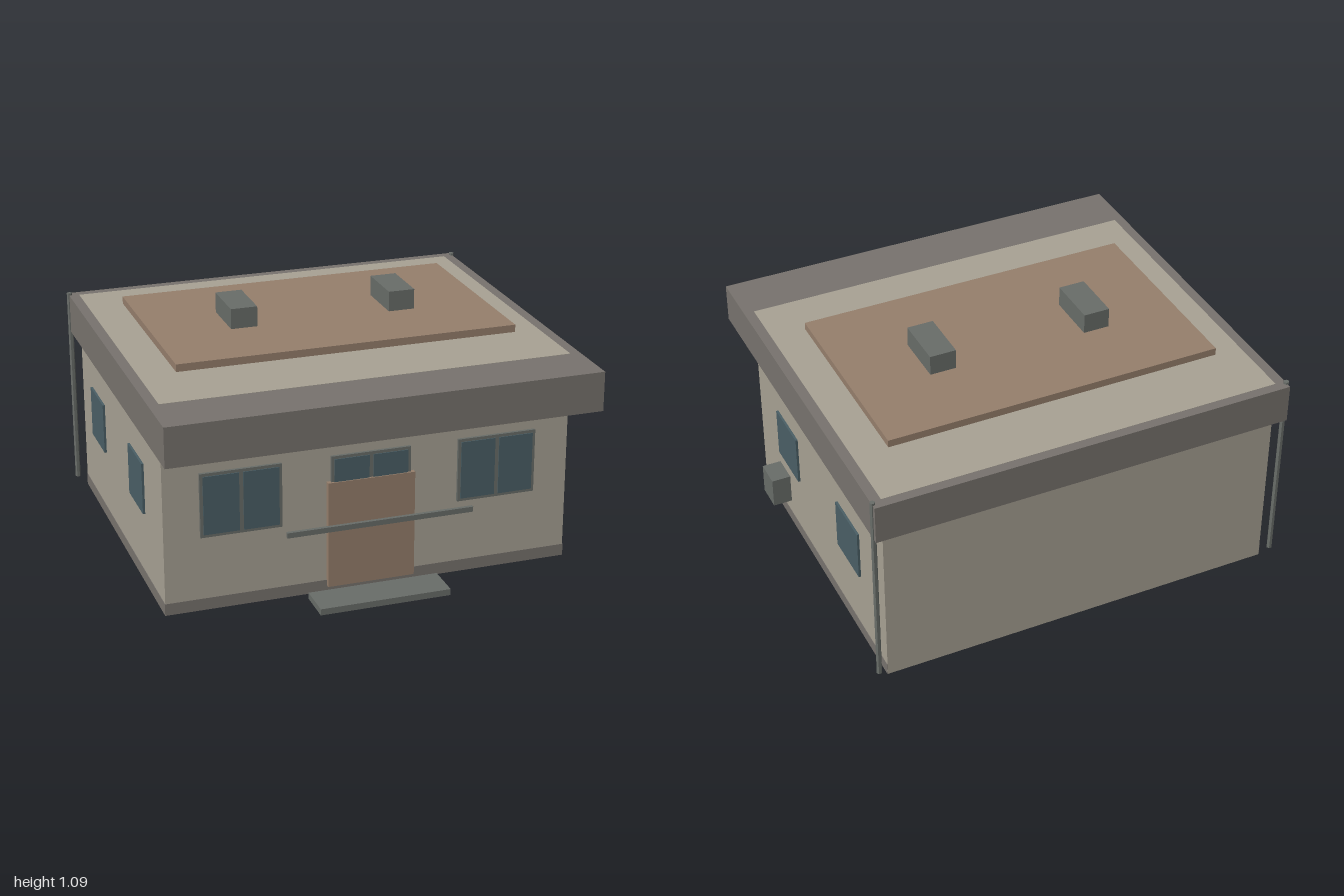
import * as THREE from 'three';

const material = (color, flat = false) => new THREE.MeshStandardMaterial({ color, flatShading: flat });

export function createModel() {
  const house = new THREE.Group();
  house.name = 'house';

  const wall = material(0xa8a294);
  const trim = material(0x78736e);
  const brown = material(0x967f6c);
  const glass = material(0x4a5f66);
  const metal = material(0x696d69, true);

  // Box given by its limits on each axis
  function box(name, mat, [x0, x1], [y0, y1], [z0, z1], parent = house) {
    const mesh = new THREE.Mesh(new THREE.BoxGeometry(x1 - x0, y1 - y0, z1 - z0), mat);
    mesh.position.set((x0 + x1) / 2, (y0 + y1) / 2, (z0 + z1) / 2);
    mesh.name = name;
    parent.add(mesh);
    return mesh;
  }

  const mid = -0.048; // centre line of the building
  const across = (half, offset = 0) => [mid + offset - half, mid + offset + half];

  // Body, plinth along front and sides, overhanging roof slab
  box('walls', wall, across(0.897), [0, 0.941], [-0.82, 0.62]);
  box('plinth', trim, across(0.899), [0, 0.053], [-0.819, 0.622]);
  box('roofSlab', trim, across(0.942), [0.765, 0.94], [-0.863, 0.863]);

  // Raised roof panel with two vents
  box('roofPanel', brown, across(0.755), [0.967, 1.0], [-0.56, 0.36]);
  for (const side of [-1, 1]) {
    box('roofVent', metal, across(0.059, side * 0.36), [1.0, 1.09], [-0.22, 0.018]);
  }

  // Front windows: frame with two panes
  for (const offset of [-0.566, 0, 0.566]) {
    const frontWindow = new THREE.Group();
    frontWindow.name = 'frontWindow';
    house.add(frontWindow);
    box('windowFrame', metal, across(0.176, offset), [0.335, 0.62], [0.615, 0.633], frontWindow);
    for (const side of [-1, 1]) {
      box('windowPane', glass, across(0.077, offset + side * 0.086), [0.348, 0.607], [0.62, 0.637], frontWindow);
    }
  }

  // Door, doorstep and front rail
  box('door', brown, across(0.193), [0.028, 0.505], [0.62, 0.642]);
  box('doorstep', metal, across(0.289), [0, 0.028], [0.665, 0.827]);
  box('frontRail', metal, across(0.41), [0.34, 0.363], [0.745, 0.761]);

  // Side windows and corner downpipes, mirrored about the centre line
  const pipeShape = new THREE.CylinderGeometry(0.012, 0.012, 0.91, 6).rotateY(Math.PI / 2);
  for (const side of [-1, 1]) {
    for (const z of [0.238, -0.46]) {
      box('sideWindow', glass, across(0.005, side * 0.91), [0.35, 0.578], [z - 0.119, z + 0.119]);
    }
    const pipe = new THREE.Mesh(pipeShape, metal);
    pipe.name = 'downpipe';
    pipe.position.set(mid + side * 0.94, 0.495, -0.834);
    house.add(pipe);
  }

  // Outdoor cooling unit beside the left wall
  box('coolingUnit', metal, [0.915, 0.998], [0.29, 0.424], [0.081, 0.201]);

  return house;
}
